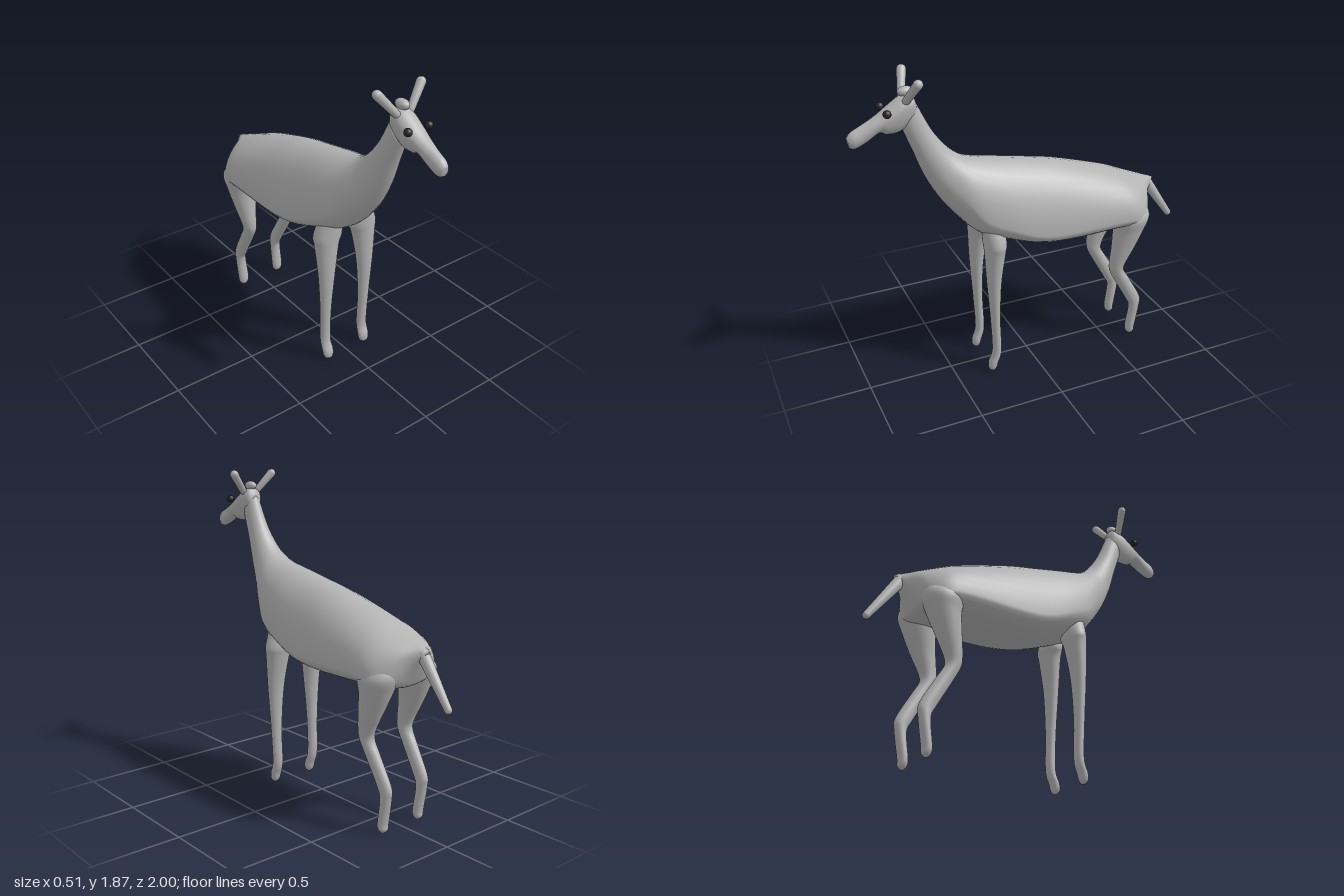
import * as THREE from 'three';

const STEPS = 5;   // rings between neighbouring cross-sections
const SIDES = 32;

// Smoothly fills in the rows of a section table
function refine(rows) {
  const out = [];
  const row = i => rows[Math.max(0, Math.min(rows.length - 1, i))];
  for (let i = 0; i < rows.length - 1; i++) {
    for (let s = 0; s < STEPS; s++) {
      const t = s / STEPS;
      out.push(rows[i].map((b, k) => {
        const a = row(i - 1)[k], c = row(i + 1)[k], d = row(i + 2)[k];
        return b + 0.5 * t * (c - a + t * (2 * a - 5 * b + 4 * c - d + t * (3 * (b - c) + d - a)));
      }));
    }
  }
  out.push(rows[rows.length - 1]);
  return out;
}

// Skins closed rings of points and closes both ends
function loft(rows, point) {
  const pos = [], index = [];
  const rings = refine(rows).map(r =>
    Array.from({ length: SIDES }, (_, j) => point(r, (j / SIDES) * Math.PI * 2)));
  for (const ring of rings) for (const p of ring) pos.push(...p);
  for (let i = 0; i < rings.length - 1; i++) {
    for (let j = 0; j < SIDES; j++) {
      const a = i * SIDES + j, b = i * SIDES + (j + 1) % SIDES;
      index.push(a, a + SIDES, b, b, a + SIDES, b + SIDES);
    }
  }
  [0, rings.length - 1].forEach((r, end) => {
    const c = pos.length / 3;
    pos.push(...[0, 1, 2].map(k => rings[r].reduce((s, p) => s + p[k], 0) / SIDES));
    for (let j = 0; j < SIDES; j++) {
      const a = r * SIDES + j, b = r * SIDES + (j + 1) % SIDES;
      if (end) index.push(c, b, a); else index.push(c, a, b);
    }
  });
  const g = new THREE.BufferGeometry();
  g.setAttribute('position', new THREE.Float32BufferAttribute(pos, 3));
  g.setIndex(index);
  g.computeVertexNormals();
  return g;
}

// Row: top z, top y, bottom z, bottom y, half width, widest point as fraction down
const trunkPoint = ([zt, yt, zb, yb, w, f], a) => {
  const v = Math.cos(a);
  const t = v > 0 ? f * (1 - v) : f - (1 - f) * v;
  return [w * Math.sin(a), yt + (yb - yt) * t, zt + (zb - zt) * t];
};

// Row: height, front z, back z, inner x, outer x
const legPoint = side => ([y, zf, zb, xi, xo], a) => [
  side * (xi + xo) / 2 + (xo - xi) / 2 * Math.sin(a), y,
  (zf + zb) / 2 + (zf - zb) / 2 * Math.cos(a)];

const BODY = [
  [-0.84, 1.01, -0.80, 0.96, 0.02, 0.5],
  [-0.79, 1.03, -0.745, 0.85, 0.075, 0.6],
  [-0.72, 1.055, -0.71, 0.805, 0.18, 0.7],
  [-0.62, 1.095, -0.64, 0.79, 0.245, 0.72],
  [-0.50, 1.145, -0.50, 0.785, 0.255, 0.72],
  [-0.20, 1.24, -0.20, 0.78, 0.25, 0.78],
  [0.00, 1.285, 0.00, 0.80, 0.24, 0.8],
  [0.20, 1.325, 0.17, 0.85, 0.225, 0.75],
  [0.30, 1.345, 0.32, 0.91, 0.20, 0.7],
  [0.38, 1.37, 0.42, 1.01, 0.16, 0.6],
  [0.45, 1.42, 0.52, 1.14, 0.11, 0.55],
  [0.51, 1.49, 0.60, 1.29, 0.08, 0.5],
  [0.56, 1.57, 0.655, 1.44, 0.062, 0.5],
  [0.63, 1.72, 0.71, 1.585, 0.05, 0.5]];

const HEAD = [
  [0.628, 1.72, 0.622, 1.67, 0.02, 0.5],
  [0.65, 1.76, 0.64, 1.62, 0.052, 0.4],
  [0.70, 1.755, 0.72, 1.565, 0.065, 0.35],
  [0.78, 1.705, 0.79, 1.56, 0.06, 0.4],
  [0.84, 1.665, 0.83, 1.575, 0.05, 0.45],
  [0.92, 1.625, 0.90, 1.533, 0.041, 0.5],
  [0.975, 1.598, 0.96, 1.508, 0.036, 0.5],
  [1.0, 1.57, 0.988, 1.517, 0.02, 0.5]];

const FRONT_LEG = [
  [1.0, 0.32, 0.20, 0.05, 0.16],
  [0.87, 0.315, 0.185, 0.03, 0.21],
  [0.80, 0.312, 0.195, 0.055, 0.205],
  [0.60, 0.305, 0.225, 0.085, 0.19],
  [0.35, 0.29, 0.233, 0.105, 0.175],
  [0.14, 0.282, 0.228, 0.105, 0.17],
  [0.06, 0.305, 0.25, 0.10, 0.17],
  [0.02, 0.308, 0.26, 0.107, 0.163],
  [0.0, 0.29, 0.275, 0.125, 0.145]];

const HIND_LEG = [
  [0.95, -0.52, -0.70, 0.06, 0.19],
  [0.87, -0.50, -0.73, 0.04, 0.25],
  [0.78, -0.51, -0.70, 0.055, 0.238],
  [0.66, -0.50, -0.645, 0.085, 0.215],
  [0.56, -0.49, -0.595, 0.10, 0.195],
  [0.50, -0.495, -0.585, 0.103, 0.185],
  [0.42, -0.535, -0.63, 0.105, 0.178],
  [0.27, -0.62, -0.715, 0.105, 0.17],
  [0.20, -0.65, -0.715, 0.105, 0.17],
  [0.06, -0.635, -0.69, 0.10, 0.17],
  [0.02, -0.638, -0.688, 0.107, 0.163],
  [0.0, -0.655, -0.67, 0.125, 0.145]];

// Tapered rod with a rounded tip
function rod(from, to, r0, r1) {
  const a = new THREE.Vector3(...from), dir = new THREE.Vector3(...to).sub(a);
  const len = dir.length();
  const profile = [new THREE.Vector2(0, 0), new THREE.Vector2(r0, 0)];
  for (let i = 0; i <= 6; i++) {
    const t = (i / 6) * Math.PI / 2;
    profile.push(new THREE.Vector2(r1 * Math.cos(t), len - r1 + r1 * Math.sin(t)));
  }
  const g = new THREE.LatheGeometry(profile, 20);
  g.applyQuaternion(new THREE.Quaternion().setFromUnitVectors(
    new THREE.Vector3(0, 1, 0), dir.normalize()));
  return g.translate(a.x, a.y, a.z);
}

export function createModel() {
  const model = new THREE.Group();
  model.name = 'hoofedAnimal';
  const hide = new THREE.MeshStandardMaterial({ color: 0xb3b3b3 });
  hide.name = 'grey hide';
  const dark = new THREE.MeshStandardMaterial({ color: 0x2a2424 });
  dark.name = 'dark eye';

  const add = (name, geometry, material = hide) => {
    const mesh = new THREE.Mesh(geometry, material);
    mesh.name = name;
    model.add(mesh);
    return mesh;
  };

  add('bodyAndNeck', loft(BODY, trunkPoint));
  add('head', loft(HEAD, trunkPoint));

  // Knob on the crown between the ears
  const knob = add('crownKnob', new THREE.SphereGeometry(0.03, 20, 14));
  knob.scale.set(1, 0.9, 1.5);
  knob.position.set(0, 1.775, 0.675);

  add('tail', rod([0, 1.0, -0.79], [0, 0.72, -0.988], 0.036, 0.021));

  // Paired parts
  for (const [side, label] of [[1, 'left'], [-1, 'right']]) {
    add(label + 'FrontLeg', loft(FRONT_LEG, legPoint(side)));
    add(label + 'HindLeg', loft(HIND_LEG, legPoint(side)));
    add(label + 'Ear', rod([side * 0.035, 1.725, 0.69], [side * 0.155, 1.866, 0.642], 0.02, 0.026));
    add(label + 'Eye', new THREE.SphereGeometry(0.022, 20, 14), dark)
      .position.set(side * 0.067, 1.69, 0.797);
  }
  return model;
}
